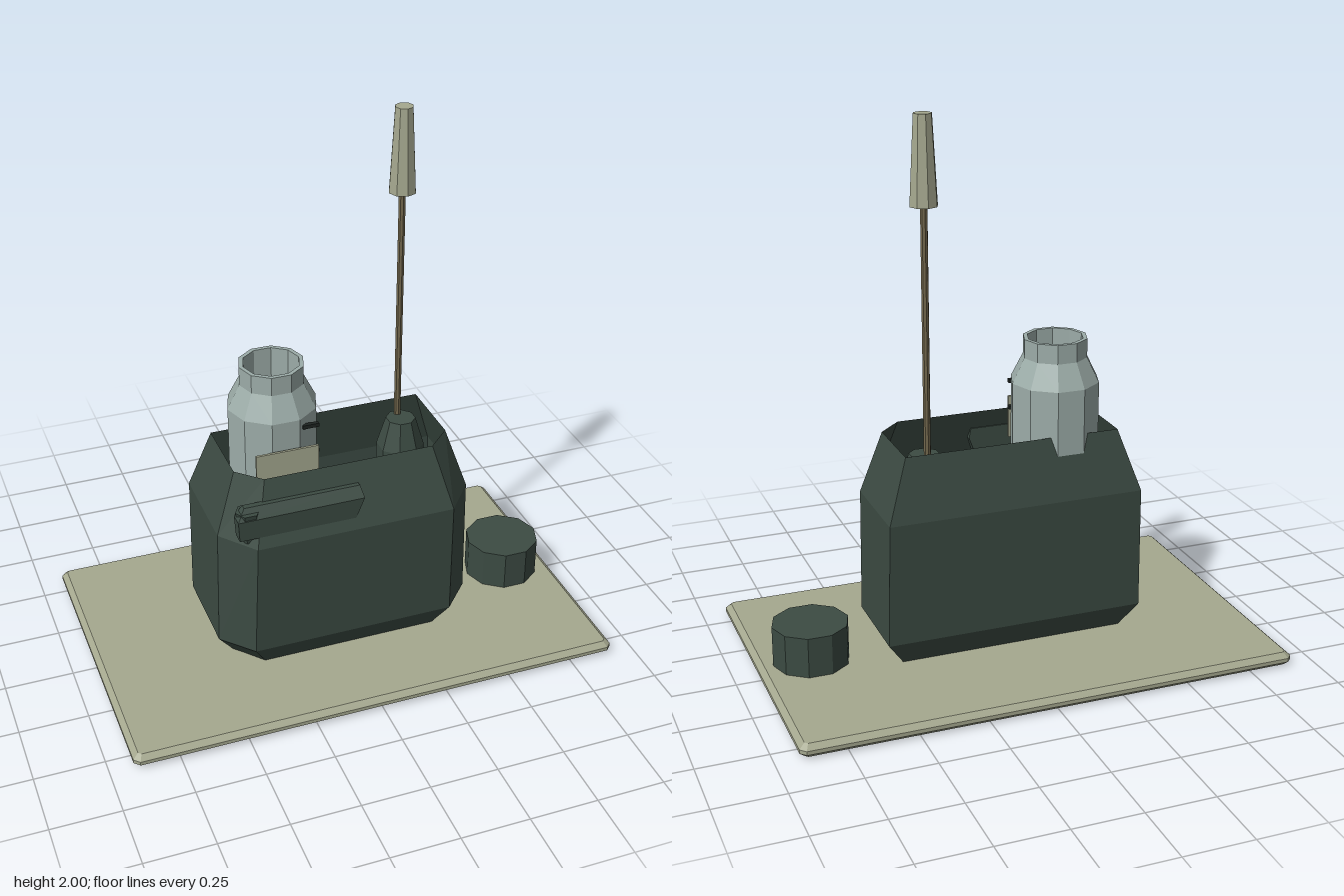
import * as THREE from 'three';

const paint = (name, color, side = THREE.FrontSide) => {
  const m = new THREE.MeshStandardMaterial({ color, flatShading: true, side });
  m.name = name;
  return m;
};

// Skin a stack of [x, y, z] rings (anticlockwise from above), optionally capped.
function loft(rings, capped = true) {
  const pos = [];
  const n = rings[0].length;
  const tri = (a, b, c) => pos.push(...a, ...b, ...c);
  for (let i = 0; i < rings.length - 1; i++) {
    for (let j = 0; j < n; j++) {
      const k = (j + 1) % n;
      tri(rings[i][j], rings[i][k], rings[i + 1][k]);
      tri(rings[i][j], rings[i + 1][k], rings[i + 1][j]);
    }
  }
  if (capped) {
    const low = rings[0], top = rings[rings.length - 1];
    for (let j = 1; j < n - 1; j++) {
      tri(top[0], top[j], top[j + 1]);
      tri(low[0], low[j + 1], low[j]);
    }
  }
  const g = new THREE.BufferGeometry();
  g.setAttribute('position', new THREE.Float32BufferAttribute(pos, 3));
  g.computeVertexNormals();
  return g;
}

// Rectangle with clipped corners.
const clippedRing = (y, x, z, c) => [
  [x - c, y, z], [x, y, z - c], [x, y, c - z], [x - c, y, -z],
  [c - x, y, -z], [-x, y, c - z], [-x, y, z - c], [c - x, y, z],
];

// Pouch section: square at the back, chamfered at the front.
const pouchRing = ([y, x, back, side, xf, front]) => [
  [xf, y, front], [x, y, side], [x, y, back],
  [-x, y, back], [-x, y, side], [-xf, y, front],
];

const boxRing = ([y, x0, x1, z0, z1]) => [[x1, y, z1], [x1, y, z0], [x0, y, z0], [x0, y, z1]];

export function createModel() {
  const sand = paint('sand', 0xa5a88f);
  const green = paint('dark green', 0x3c4b43);
  const greenOpen = paint('dark green shell', 0x3c4b43, THREE.DoubleSide);
  const steel = paint('pale steel', 0x9dada9);
  const brown = paint('brown', 0x72674d);
  const black = paint('near black', 0x1e2421);

  const model = new THREE.Group();
  const add = (name, geometry, material, x = 0, y = 0, z = 0) => {
    const mesh = new THREE.Mesh(geometry, material);
    mesh.name = name;
    mesh.position.set(x, y, z);
    model.add(mesh);
    return mesh;
  };

  // Bevelled base plate
  add('basePlate', loft([
    clippedRing(0, 0.895, 0.56, 0.01),
    clippedRing(0.018, 0.915, 0.58, 0.02),
    clippedRing(0.032, 0.915, 0.58, 0.02),
    clippedRing(0.05, 0.895, 0.56, 0.01),
  ]), sand);

  // Open pouch: y, half width, back z, side z, front half width, front z
  add('pouch', loft([
    [0.01, 0.395, -0.12, 0.11, 0.31, 0.21],
    [0.14, 0.485, -0.177, 0.165, 0.38, 0.28],
    [0.60, 0.477, -0.19, 0.17, 0.37, 0.303],
    [0.83, 0.40, -0.14, 0.135, 0.315, 0.218],
  ].map(pouchRing), false), greenOpen);

  // Hollow flask
  const flask = [
    [0, 0.25], [0.163, 0.25], [0.163, 1.0], [0.118, 1.09], [0.118, 1.16],
    [0.102, 1.16], [0.102, 1.08], [0.102, 0.95], [0, 0.95],
  ].map(([r, y]) => new THREE.Vector2(r, y));
  add('flask', new THREE.LatheGeometry(flask, 10, Math.PI / 2), steel, -0.212, 0, 0);

  // Flask markings and label plate
  for (const y of [0.86, 0.963]) {
    add('flaskMark', new THREE.BoxGeometry(0.06, 0.014, 0.016), black, -0.118, y, 0.142);
  }
  add('labelPlate', new THREE.BoxGeometry(0.23, 0.16, 0.009), sand, -0.213, 0.815, 0.168);

  // Front strap: y, x range, z range
  add('frontStrap', loft([
    [0.64, -0.43, 0.0, 0.24, 0.288],
    [0.72, -0.435, 0.03, 0.24, 0.292],
    [0.757, -0.405, 0.022, 0.24, 0.262],
  ].map(boxRing)), green);
  add('strapAnchor', new THREE.CylinderGeometry(0.045, 0.015, 0.13, 6, 1, false, Math.PI / 6),
    green, -0.39, 0.675, 0.255);

  // Holder, rod and tapered tip
  const eighth = Math.PI / 8;
  add('rodHolder', new THREE.CylinderGeometry(0.088, 0.088, 0.62, 8, 1, false, eighth), green, 0.303, 0.38, -0.05);
  add('rodCollar', new THREE.CylinderGeometry(0.055, 0.088, 0.11, 8, 1, false, eighth), green, 0.303, 0.745, -0.05);
  add('rod', new THREE.CylinderGeometry(0.013, 0.013, 1.02, 8), brown, 0.302, 1.2, -0.082);
  add('rodTip', new THREE.CylinderGeometry(0.033, 0.05, 0.31, 8), sand, 0.302, 1.845, -0.082);

  // Loose cap beside the pouch
  add('cap', new THREE.CylinderGeometry(0.14, 0.14, 0.155, 10, 1, false, Math.PI / 2), green, 0.724, 0.1225, 0);

  return model;
}
